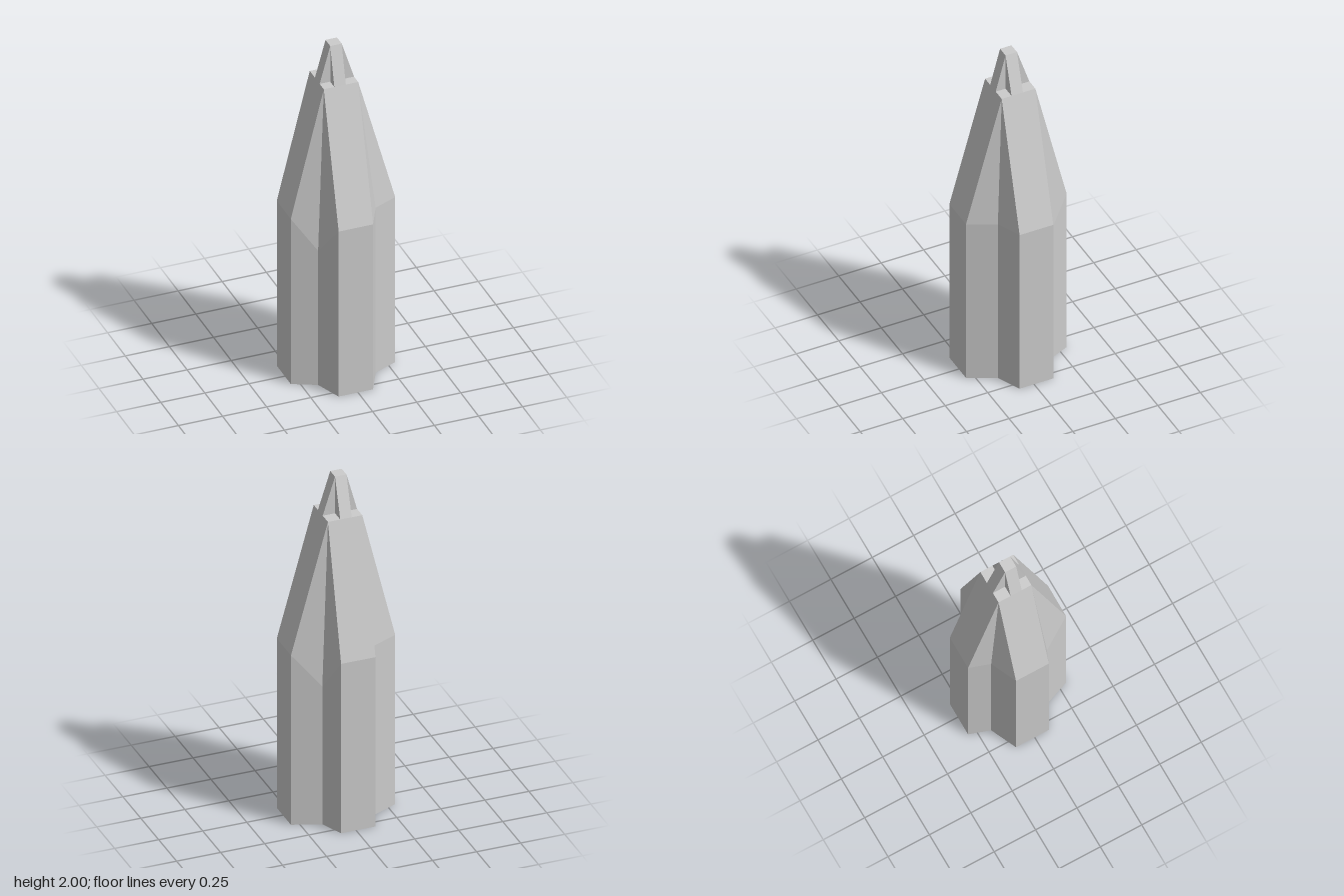
import * as THREE from 'three';

// Plan outline as [x, z], running front -> +x -> back -> -x.
// Each arm has two outer corners; a groove lies between neighbouring arms.
const arms = [
  [[-0.11, 0.295], [0.085, 0.295]],
  [[0.295, 0.085], [0.295, -0.113]],
  [[0.085, -0.297], [-0.11, -0.297]],
  [[-0.297, -0.113], [-0.297, 0.085]],
];
const grooves = [[0.16, 0.145], [0.14, -0.17], [-0.15, -0.18], [-0.167, 0.147]];
const grooveTops = [1.02, 0.83, 1.02, 0.83];

// Shoulder square (under the tip) and the small square at the very top
const shoulder = [[-0.11, 0.085], [0.085, 0.085], [0.085, -0.113], [-0.11, -0.113]];
const crown = [[-0.05, 0.027], [0.015, 0.027], [0.015, -0.04], [-0.05, -0.04]];
const ARM_Y = 1.02, SHOULDER_Y = 1.78, TOP_Y = 2;

const at = ([x, z], y) => [x, y, z];

// Flat-faced mesh from convex polygons
function facetedMesh(name, polygons, material) {
  const points = [];
  for (const p of polygons)
    for (let i = 1; i < p.length - 1; i++) points.push(...p[0], ...p[i], ...p[i + 1]);
  const geometry = new THREE.BufferGeometry();
  geometry.setAttribute('position', new THREE.Float32BufferAttribute(points, 3));
  geometry.computeVertexNormals();
  const mesh = new THREE.Mesh(geometry, material);
  mesh.name = name;
  return mesh;
}

export function createModel() {
  const material = new THREE.MeshStandardMaterial({ color: 0xcccccc, flatShading: true });
  const shaft = [], taper = [], tip = [];

  for (let k = 0; k < 4; k++) {
    const n = (k + 1) % 4;
    const [a, b] = arms[k], next = arms[n][0];
    const g = grooves[k], gy = grooveTops[k];

    // Upright arm face and the two walls of the groove beside it
    shaft.push([at(a, 0), at(b, 0), at(b, ARM_Y), at(a, ARM_Y)]);
    shaft.push([at(b, 0), at(g, 0), at(g, gy), at(b, ARM_Y)]);
    shaft.push([at(g, 0), at(next, 0), at(next, ARM_Y), at(g, gy)]);

    // Underside
    for (const [p, q] of [[a, b], [b, g], [g, next]]) shaft.push([[0, 0, 0], at(q, 0), at(p, 0)]);

    // Sloping arm face and the folded corner face above the groove
    const s = at(shoulder[k], SHOULDER_Y), sn = at(shoulder[n], SHOULDER_Y);
    taper.push([at(a, ARM_Y), at(b, ARM_Y), sn, s]);
    taper.push([sn, at(b, ARM_Y), at(g, gy)]);
    taper.push([sn, at(g, gy), at(next, ARM_Y)]);

    // Tip fin: sloping strip with an upright triangular wall on each side
    const foot = (i) => k % 2
      ? [shoulder[i][0], SHOULDER_Y, crown[i][1]]
      : [crown[i][0], SHOULDER_Y, shoulder[i][1]];
    const topA = at(crown[k], TOP_Y), topB = at(crown[n], TOP_Y);
    tip.push([foot(k), foot(n), topB, topA]);
    tip.push([at(crown[k], SHOULDER_Y), foot(k), topA]);
    tip.push([foot(n), at(crown[n], SHOULDER_Y), topB]);
  }

  // Ledge at the shoulder and flat top
  taper.push(shoulder.map((p) => at(p, SHOULDER_Y)));
  tip.push(crown.map((p) => at(p, TOP_Y)));

  const model = new THREE.Group();
  model.name = 'spire';
  model.add(
    facetedMesh('shaft', shaft, material),
    facetedMesh('taper', taper, material),
    facetedMesh('tip', tip, material),
  );
  return model;
}
